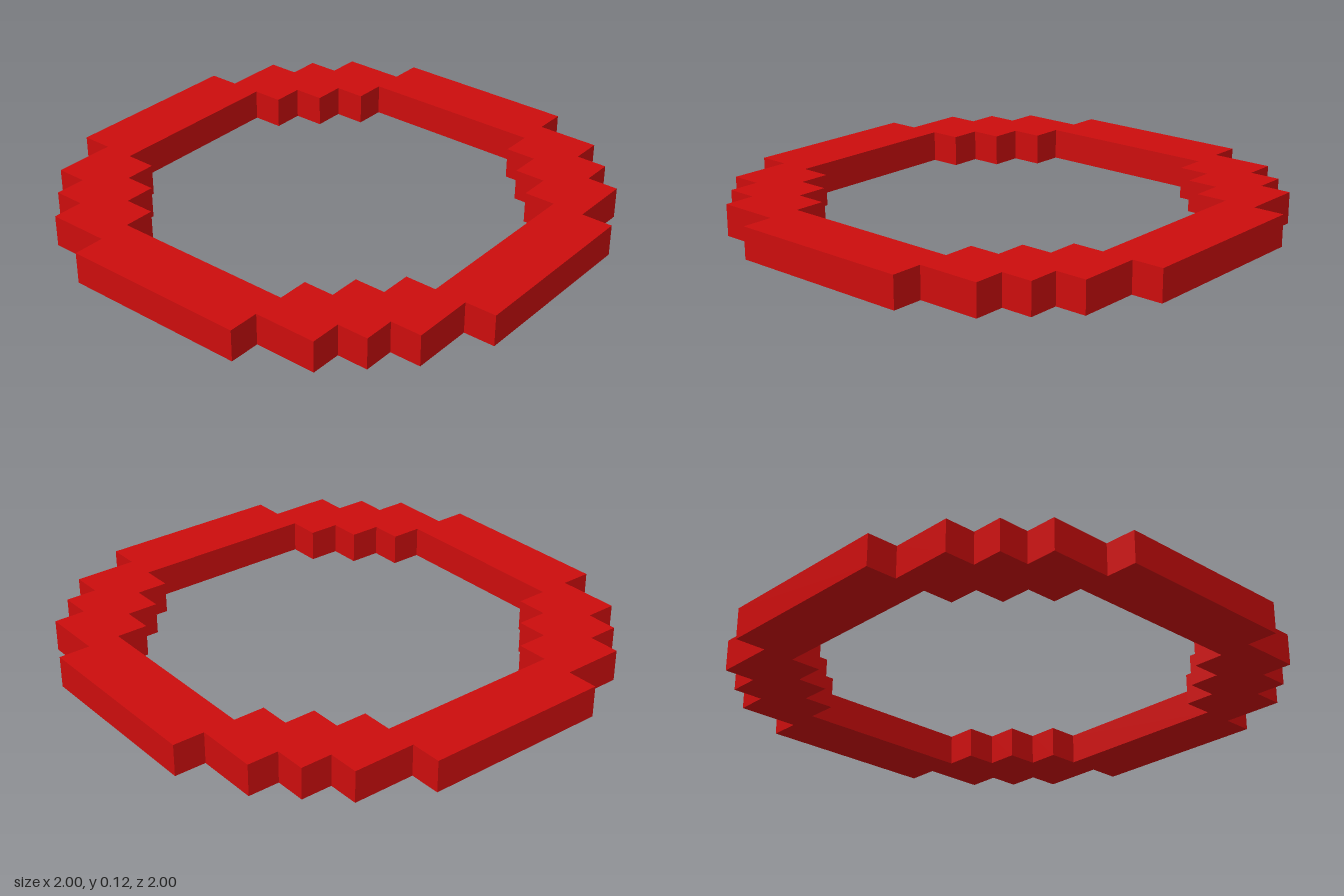
import * as THREE from 'three';

const UNIT = 0.125; // one block of the stepped grid
const HEIGHT = 0.125;

// One quadrant of each stepped outline, in blocks, counter-clockwise
const OUTER = [[8, 3], [7, 3], [7, 5], [6, 5], [6, 6], [5, 6], [5, 7], [3, 7], [3, 8]];
const INNER = [[6, 3], [5, 3], [5, 4], [4, 4], [4, 5], [3, 5], [3, 6]];

// Repeat a quadrant by quarter turns into a closed outline
function outline(quadrant) {
  const points = [];
  let corners = quadrant;
  for (let turn = 0; turn < 4; turn++) {
    for (const [x, y] of corners) points.push(new THREE.Vector2(x * UNIT, y * UNIT));
    corners = corners.map(([x, y]) => [-y, x]);
  }
  return points;
}

export function createModel() {
  const red = new THREE.MeshStandardMaterial({ color: 0xcc0d0d });
  red.name = 'red';

  // Flat blocky ring with an open centre
  const shape = new THREE.Shape(outline(OUTER));
  shape.holes.push(new THREE.Path(outline(INNER)));
  const geometry = new THREE.ExtrudeGeometry(shape, { depth: HEIGHT, bevelEnabled: false });
  geometry.rotateX(-Math.PI / 2);

  const ring = new THREE.Mesh(geometry, red);
  ring.name = 'steppedRing';

  const model = new THREE.Group();
  model.name = 'blockRing';
  model.add(ring);
  return model;
}
